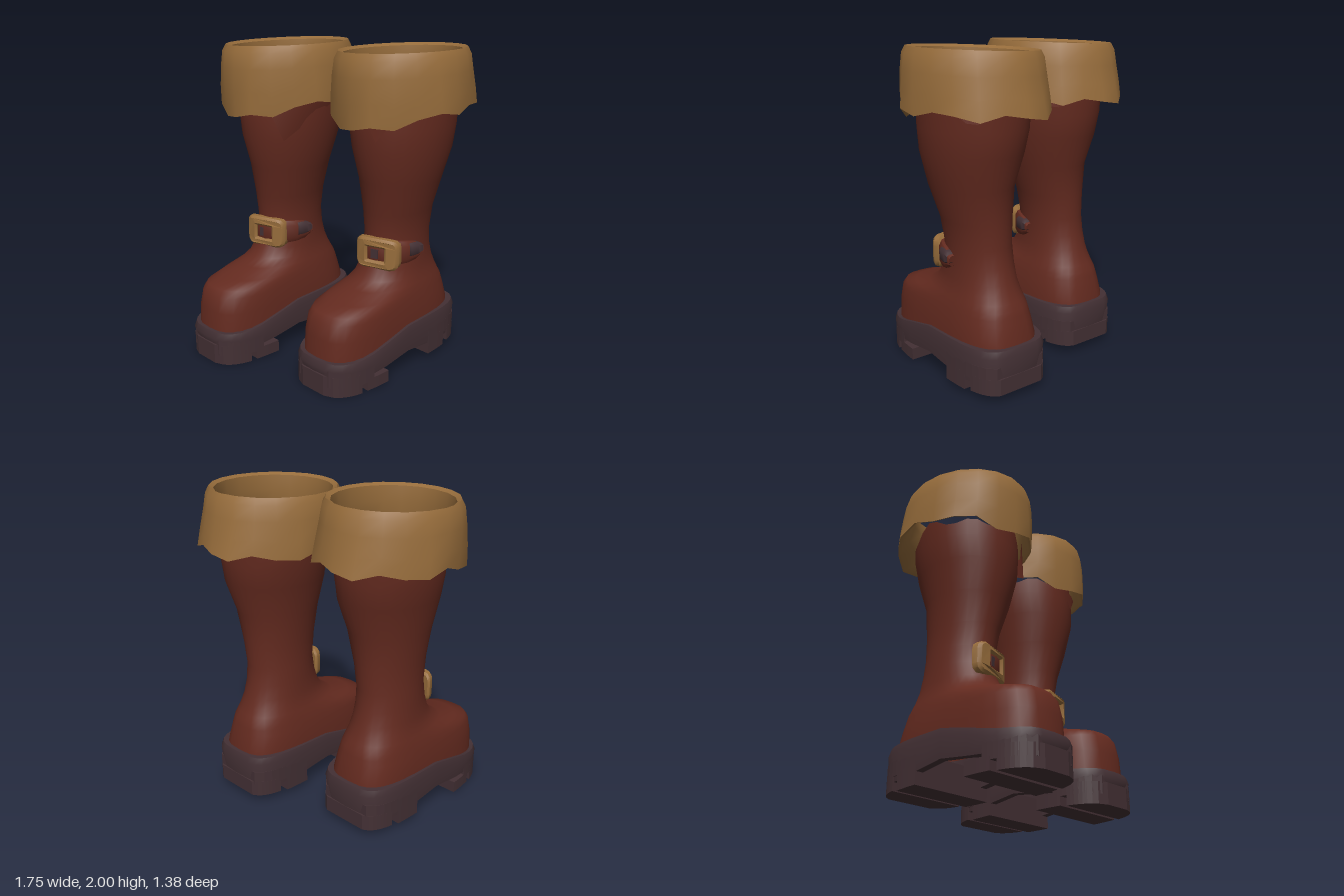
import * as THREE from 'three';
import { toCreasedNormals } from 'three/addons/utils/BufferGeometryUtils.js';

const mat = (name, color, side = THREE.FrontSide) => {
  const m = new THREE.MeshStandardMaterial({ color, side });
  m.name = name;
  return m;
};
const leather = mat('red brown leather', 0x632a1f, THREE.DoubleSide);
const fur = mat('tan trim', 0x966c3b, THREE.DoubleSide);
const rubber = mat('dark rubber', 0x433034);

const TAU = Math.PI * 2;
const V = (x, y, z) => new THREE.Vector3(x, y, z);
const spow = (v, p) => Math.sign(v) * Math.abs(v) ** p;

// Skin through closed rings of equal length; wrap joins the last ring to the first.
function loft(rings, wrap = false, crease = 0.75) {
  const n = rings[0].length, m = rings.length, idx = [];
  for (let i = 0; i < (wrap ? m : m - 1); i++) {
    for (let j = 0; j < n; j++) {
      const a = i * n + j, b = i * n + (j + 1) % n;
      const d = ((i + 1) % m) * n + j, c = ((i + 1) % m) * n + (j + 1) % n;
      idx.push(a, b, c, a, c, d);
    }
  }
  const g = new THREE.BufferGeometry().setFromPoints(rings.flat());
  g.setIndex(idx);
  return toCreasedNormals(g, crease);
}

// Horizontal superellipse ring; pToe and pHeel set how square each end is.
function ring(back, front, w, x0, pToe, pHeel, yAt, n = 32) {
  return Array.from({ length: n }, (_, j) => {
    const t = (j / n) * TAU, p = Math.cos(t) > 0 ? pToe : pHeel;
    const z = (front + back) / 2 + ((front - back) / 2) * spow(Math.cos(t), p);
    return V(x0 + w * spow(Math.sin(t), p), typeof yAt === 'number' ? yAt : yAt(z, t), z);
  });
}

function add(group, name, geo, material) {
  const mesh = new THREE.Mesh(geo, material);
  mesh.name = name;
  group.add(mesh);
  return mesh;
}

// Foot and shaft as one shell, open below, ragged at the top.
function upperGeometry() {
  const ragged = (z, t) => 1.645 + 0.03 * Math.sin(t * 7) + 0.02 * Math.sin(t * 4 + 1);
  const rows = [
    // y, back, front, half width, x offset, toe and heel squareness
    [0.18, -0.54, 0.57, 0.248, 0, 0.66, 0.6],
    [0.33, -0.53, 0.56, 0.244, 0, 0.66, 0.6],
    [0.43, -0.505, 0.54, 0.235, 0, 0.68, 0.64],
    [0.47, -0.495, 0.51, 0.227, 0, 0.71, 0.66],
    [0.505, -0.485, 0.4, 0.22, 0, 0.78, 0.7],
    [0.545, -0.465, 0.25, 0.207, 0, 0.85, 0.78],
    [0.59, -0.445, 0.17, 0.195, 0, 0.92, 0.86],
    [0.65, -0.424, 0.13, 0.185, 0, 0.96, 0.94],
    [0.74, -0.4, 0.1, 0.182, 0, 1, 1],
    [0.85, -0.385, 0.085, 0.18, 0.004, 1, 1],
    [1.0, -0.395, 0.11, 0.19, 0.014, 1, 1],
    [1.2, -0.405, 0.145, 0.24, 0.035, 1, 1],
    [1.4, -0.475, 0.198, 0.285, 0.037, 1, 1],
    [1.54, -0.492, 0.2, 0.31, 0.03, 1, 1],
    [ragged, -0.495, 0.197, 0.315, 0.03, 1, 1],
  ];
  return loft(rows.map(([y, b, f, w, x, pt, ph]) => ring(b, f, w, x, pt, ph, y)), false, 1);
}

// Turned-down cuff: outer wall, rolled rim, thin flaring hem; dips at the front.
function cuffGeometry() {
  const n = 20;
  // radius, y, share of the hem's waviness
  const rows = [[0.43, 1.64, 1], [0.427, 1.74, 0.5], [0.416, 1.85, 0.1], [0.403, 1.94, 0],
    [0.382, 1.98, 0], [0.355, 1.965, 0], [0.347, 1.87, 0], [0.372, 1.75, 0.3], [0.417, 1.645, 0.95]];
  return loft(rows.map(([r, y, k]) => Array.from({ length: n }, (_, j) => {
    const t = (j / n) * TAU, c = Math.cos(t);
    const dip = 0.09 * Math.max(0, c) ** 2 - 0.022 * Math.sin(j * 2.2);
    const rr = r + k * (0.014 * Math.sin(j * 1.9) + (c < -0.8 ? 0.015 : 0));
    const zc = -0.138 - 0.02 * k;
    return V(0.02 + rr * 0.955 * Math.sin(t), y - k * dip + 0.015 * Math.sin(t), zc + rr * 1.07 * c);
  })), true, 0.9);
}

// Sole wall, open through the middle.
const TOE = 0.62, HEEL = 0.5;
function soleGeometry() {
  const top = z => 0.315 - 0.105 * THREE.MathUtils.smoothstep(z, -0.05, 0.5);
  const low = z => 0.12 + 0.02 * Math.cos(z * 9);
  return loft([
    ring(-0.555, 0.595, 0.262, 0, TOE, HEEL, low),
    ring(-0.57, 0.605, 0.272, 0, TOE, HEEL, z => top(z) - 0.04),
    ring(-0.555, 0.59, 0.262, 0, TOE, HEEL, top),
    ring(-0.5, 0.52, 0.215, 0, TOE, HEEL, top),
    ring(-0.5, 0.52, 0.215, 0, TOE, HEEL, low),
  ], true);
}

// Slab of the sole outline between two z positions.
function slab(z0, z1, y0, y1) {
  const half = z => {
    const n = 2 / (z > 0 ? TOE : HEEL);
    return 0.267 * (1 - Math.min(1, Math.abs((z - 0.015) / 0.59)) ** n) ** (1 / n);
  };
  const pts = [];
  for (let i = 0; i <= 8; i++) {
    const z = z0 + ((z1 - z0) * i) / 8;
    pts.push([half(z), -z]);
  }
  const all = [...pts, ...pts.slice().reverse().map(([x, y]) => [-x, y])];
  const shape = new THREE.Shape(all.map(([x, y]) => new THREE.Vector2(x, y)));
  return new THREE.ExtrudeGeometry(shape, { depth: y1 - y0, bevelEnabled: false })
    .rotateX(-Math.PI / 2).translate(0, y0, 0);
}

// Strap hugging the ankle from angle t0 to t1, with its half height as a rule.
function strapGeometry(t0, t1, out, y0, heightAt) {
  const rings = [];
  for (let i = 0; i <= 8; i++) {
    const u = i / 8, t = t0 + (t1 - t0) * u, h = heightAt(u);
    const p = (r, y) => V((0.18 + r) * Math.sin(t), y0 + y, -0.15 + (0.235 + r) * Math.cos(t));
    rings.push([p(out - 0.015, h), p(out, h * 0.6), p(out, -h * 0.6), p(out - 0.015, -h), p(-0.02, -h), p(-0.02, h)]);
  }
  return loft(rings);
}

function roundedRect(path, w, h, r) {
  path.moveTo(-w + r, -h).lineTo(w - r, -h).quadraticCurveTo(w, -h, w, -h + r)
    .lineTo(w, h - r).quadraticCurveTo(w, h, w - r, h).lineTo(-w + r, h)
    .quadraticCurveTo(-w, h, -w, h - r).lineTo(-w, -h + r).quadraticCurveTo(-w, -h, -w + r, -h);
  return path;
}

function buckleGeometry() {
  const shape = roundedRect(new THREE.Shape(), 0.13, 0.084, 0.04);
  shape.holes.push(roundedRect(new THREE.Path(), 0.072, 0.056, 0.012));
  const g = new THREE.ExtrudeGeometry(shape, {
    depth: 0.035, bevelSize: 0.014, bevelThickness: 0.014, bevelSegments: 1, curveSegments: 3,
  });
  const p = g.attributes.position;
  for (let i = 0; i < p.count; i++) p.setZ(i, p.getZ(i) - 1.8 * p.getX(i) ** 2);
  return toCreasedNormals(g, 0.6);
}

function flapGeometry(points) {
  const g = new THREE.BufferGeometry().setFromPoints(points);
  g.setIndex([0, 3, 1, 1, 3, 2]);
  g.computeVertexNormals();
  return g;
}

function boot(name, x, z, buckleX) {
  const g = new THREE.Group();
  g.name = name;
  add(g, 'upper', upperGeometry(), leather);
  add(g, 'cuff', cuffGeometry(), fur);
  add(g, 'soleWall', soleGeometry(), rubber);
  // plates and tread bars: z0, z1, y0, y1
  [['heelPlate', -0.55, -0.18, 0.13, 0.22], ['heelBarBack', -0.56, -0.4, 0.05, 0.15],
    ['heelBarFront', -0.35, -0.18, 0.04, 0.15], ['toePlate', 0.33, 0.59, 0.06, 0.17],
    ['toeBarBack', 0.21, 0.38, 0.005, 0.08], ['toeBarFront', 0.42, 0.6, 0, 0.13],
  ].forEach(([n, ...a]) => add(g, n, slab(...a), rubber));
  add(g, 'strap', strapGeometry(-0.25, 1.6, 0.038, 0.762, u => 0.085 - 0.015 * u - 0.04 * u ** 8), leather);
  add(g, 'strapTip', strapGeometry(1.15, 1.55, 0.045, 0.775, u => 0.045 - 0.02 * u ** 4), rubber);
  const buckle = add(g, 'buckle', buckleGeometry(), fur);
  buckle.position.set(buckleX, 0.757, 0.088);
  buckle.rotation.y = 0.27;
  const pin = add(g, 'bucklePin', new THREE.BoxGeometry(0.05, 0.06, 0.03), rubber);
  pin.position.set(buckleX - 0.005, 0.757, 0.105);
  pin.rotation.y = 0.27;
  g.position.set(x, 0, z);
  g.rotation.y = -0.56;
  return g;
}

export function createModel() {
  const model = new THREE.Group();
  model.name = 'boots';
  const left = boot('leftBoot', 0.335, 0.13, 0.05), right = boot('rightBoot', -0.43, -0.093, 0.03);
  // torn folds of leather under the cuffs
  add(right, 'tornFlap', flapGeometry([V(0.187, 1.62, 0.19), V(0.35, 1.64, 0.02), V(0.36, 1.64, -0.24), V(0.265, 1.41, 0.13)]), leather);
  add(left, 'tornFlap', flapGeometry([V(0.05, 1.6, 0.215), V(0.14, 1.6, 0.2), V(0.21, 1.6, 0.16), V(0.12, 1.48, 0.205)]), leather);
  model.add(left, right);
  return model;
}
